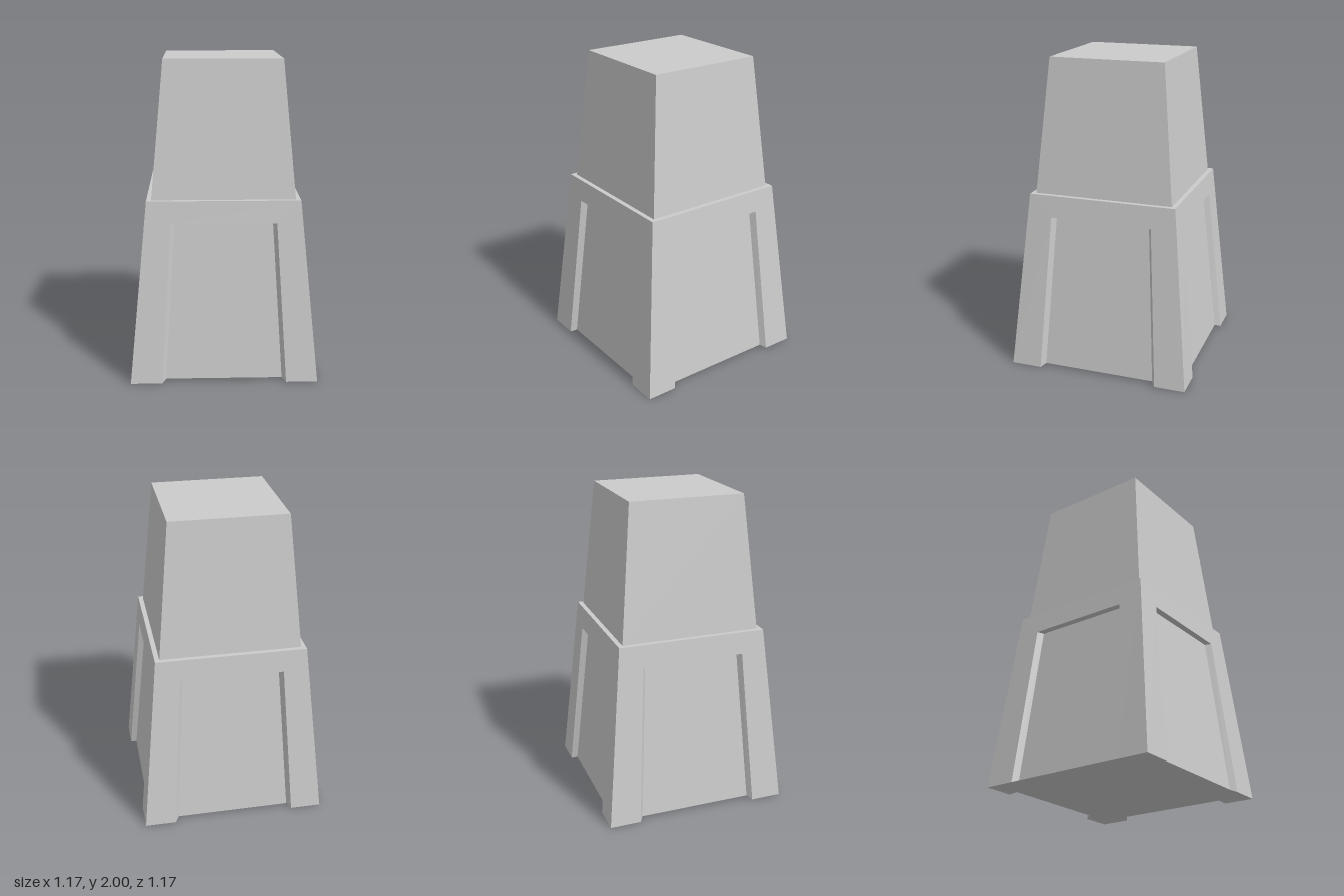
import * as THREE from 'three';

const material = new THREE.MeshStandardMaterial({ color: 0xcccccc, flatShading: true });

// Flat-sided mesh from polygons (triangles or quads, counter-clockwise from outside)
function facets(name, polygons) {
  const positions = [];
  for (const p of polygons) {
    for (let i = 1; i < p.length - 1; i++) positions.push(...p[0], ...p[i], ...p[i + 1]);
  }
  const geometry = new THREE.BufferGeometry();
  geometry.setAttribute('position', new THREE.Float32BufferAttribute(positions, 3));
  geometry.computeVertexNormals();
  const mesh = new THREE.Mesh(geometry, material);
  mesh.name = name;
  return mesh;
}

// One tapered side of the base, facing +z, with a recessed panel
function createSide() {
  const pair = (x, y, z) => [[-x, y, z], [x, y, z]];
  const [c1, c2] = pair(0.587, 0, 0.587);       // foot corners
  const [t1, t2] = pair(0.475, 1.15, 0.475);    // top corners
  const [l1, l2] = pair(0.445, 1.15, 0.445);    // inner edge of ledge
  const [a1, a2] = pair(0.39, 0, 0.587);        // opening, bottom
  const [o1, o2] = pair(0.328, 1.01, 0.489);    // opening, top
  const [p1, p2] = pair(0.365, 0.015, 0.55);    // panel, bottom
  const [q1, q2] = pair(0.305, 1.005, 0.452);   // panel, top
  const next = [0.55, 0.015, 0.365];            // panel corner of the adjoining side
  const centre = [0, 0.015, 0];

  const side = new THREE.Group();
  side.add(
    facets('frame', [[c1, a1, o1, t1], [o1, o2, t2, t1], [a2, c2, t2, o2]]),
    facets('reveal', [[a1, p1, q1, o1], [p2, a2, o2, q2], [o1, q1, q2, o2]]),
    facets('panel', [[p1, p2, q2, q1]]),
    facets('ledge', [[t1, t2, l2, l1]]),
    facets('underside', [
      [c1, p1, a1], [c2, a2, p2], [c2, p2, next],
      [p2, p1, centre], [p2, centre, next],
    ]),
  );
  return side;
}

export function createModel() {
  const model = new THREE.Group();
  model.name = 'taperedPillar';

  // Base: the same side four times around
  const base = new THREE.Group();
  base.name = 'base';
  ['front', 'left', 'back', 'right'].forEach((name, i) => {
    const side = createSide();
    side.name = name + 'Side';
    side.rotation.y = i * Math.PI / 2;
    base.add(side);
  });
  model.add(base);

  // Upper block: square frustum
  const height = 0.85;
  const geometry = new THREE.CylinderGeometry(
    0.365 * Math.SQRT2, 0.445 * Math.SQRT2, height, 4, 1, false, Math.PI / 4,
  ).toNonIndexed();
  geometry.computeVertexNormals();
  const upper = new THREE.Mesh(geometry, material);
  upper.name = 'upperBlock';
  upper.position.y = 1.15 + height / 2;
  model.add(upper);

  return model;
}
